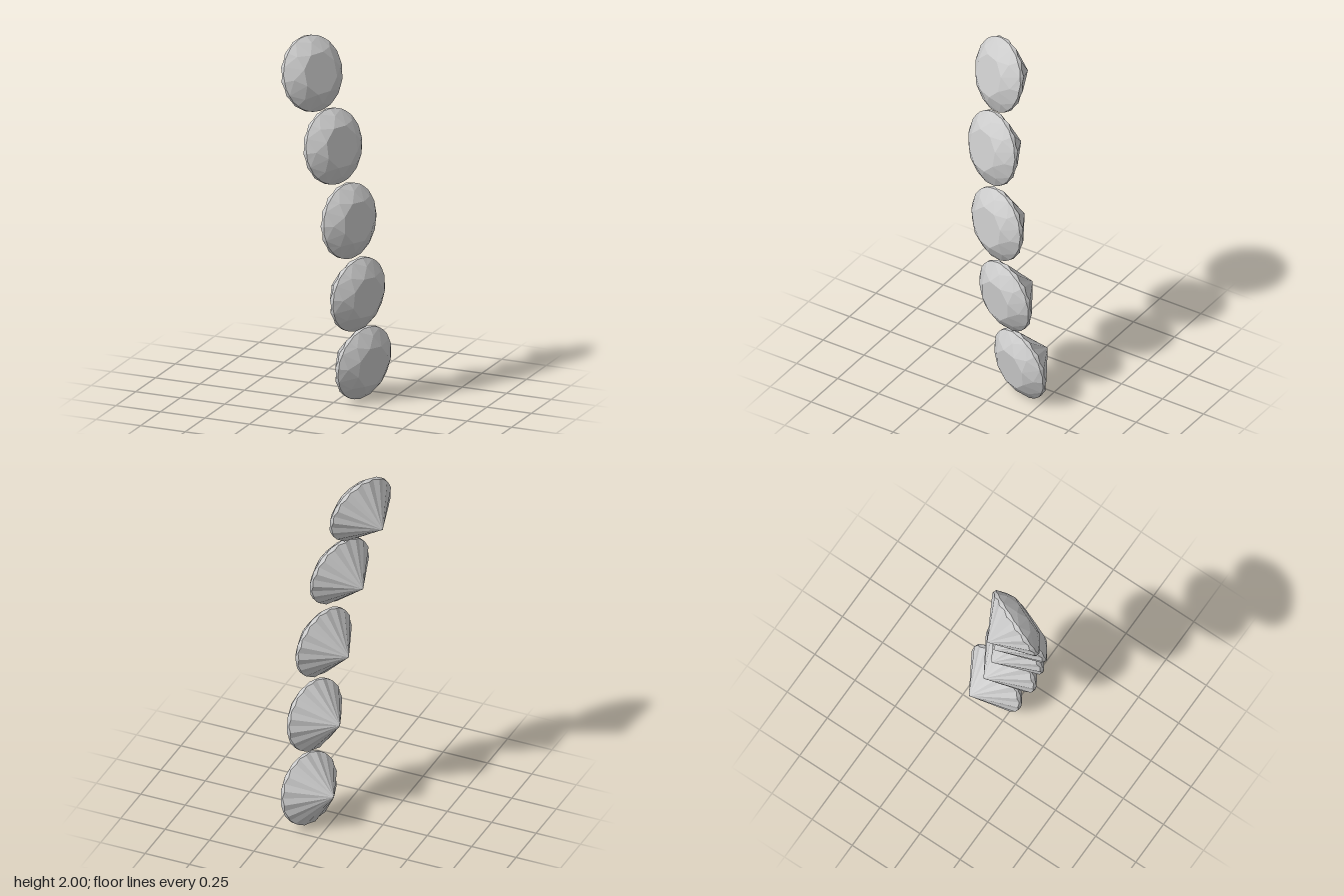
import * as THREE from 'three';

const GIRDLE = 0.198, TABLE = 0.112, STAR = 0.16;
const TABLE_H = 0.07, STAR_H = 0.043, CULET_H = -0.18;
const STEP = Math.PI / 16; // 32 points around the girdle

// Point on a ring: i counts girdle steps, y is the gem's axis
const ring = (i, r, h) => [r * Math.cos(i * STEP), h, -r * Math.sin(i * STEP)];

function toGeometry(triangles) {
  const geometry = new THREE.BufferGeometry();
  geometry.setAttribute('position', new THREE.Float32BufferAttribute(triangles.flat(2), 3));
  geometry.computeVertexNormals();
  return geometry;
}

// Girdle edges are scalloped where the facets meet them
const upper = (i) => ring(i, GIRDLE, i % 2 ? 0.007 : 0.011);
const lower = (i) => ring(i, GIRDLE, i % 2 ? -0.004 : -0.014);

// Table, star, kite and upper half facets
function crownGeometry() {
  const tris = [];
  for (let k = 0; k < 32; k += 4) {
    const t0 = ring(k, TABLE, TABLE_H), t1 = ring(k + 4, TABLE, TABLE_H);
    const s0 = ring(k - 2, STAR, STAR_H), s1 = ring(k + 2, STAR, STAR_H);
    tris.push([[0, TABLE_H, 0], t0, t1]);
    tris.push([t0, s1, t1]);
    tris.push([t0, s0, upper(k)], [t0, upper(k), s1]);
    for (let j = 0; j < 4; j++) tris.push([s1, upper(k + j), upper(k + j + 1)]);
  }
  return toGeometry(tris);
}

// Narrow band round the widest part
function girdleGeometry() {
  const tris = [];
  for (let i = 0; i < 32; i++) {
    tris.push([lower(i), lower(i + 1), upper(i + 1)], [lower(i), upper(i + 1), upper(i)]);
  }
  return toGeometry(tris);
}

// Pleated cone down to the point
function pavilionGeometry() {
  const tris = [];
  for (let i = 0; i < 32; i++) tris.push([[0, CULET_H, 0], lower(i + 1), lower(i)]);
  return toGeometry(tris);
}

export function createModel() {
  const model = new THREE.Group();
  model.name = 'gemRow';
  const material = new THREE.MeshStandardMaterial({ color: 0xcccccc, flatShading: true });
  const parts = { crown: crownGeometry(), girdle: girdleGeometry(), pavilion: pavilionGeometry() };

  // Girdle centre and facing direction of each gem, top to bottom
  const gems = [
    { at: [-0.065, 1.81, 0.127], facing: [1, 0.27, 0.45] },
    { at: [0.04, 1.422, 0.098], facing: [1, 0.19, 0.4] },
    { at: [0.1, 1.008, 0.033], facing: [1, 0.09, 0.34] },
    { at: [0.122, 0.595, -0.031], facing: [1, -0.06, 0.33] },
    { at: [0.115, 0.2, -0.117], facing: [1, -0.12, 0.345] },
  ];
  const axis = new THREE.Vector3(0, 1, 0);
  gems.forEach(({ at, facing }, i) => {
    const gem = new THREE.Group();
    gem.name = `gem${i + 1}`;
    for (const [name, geometry] of Object.entries(parts)) {
      const mesh = new THREE.Mesh(geometry, material);
      mesh.name = name;
      gem.add(mesh);
    }
    gem.position.set(...at);
    gem.quaternion.setFromUnitVectors(axis, new THREE.Vector3(...facing).normalize());
    model.add(gem);
  });
  return model;
}
